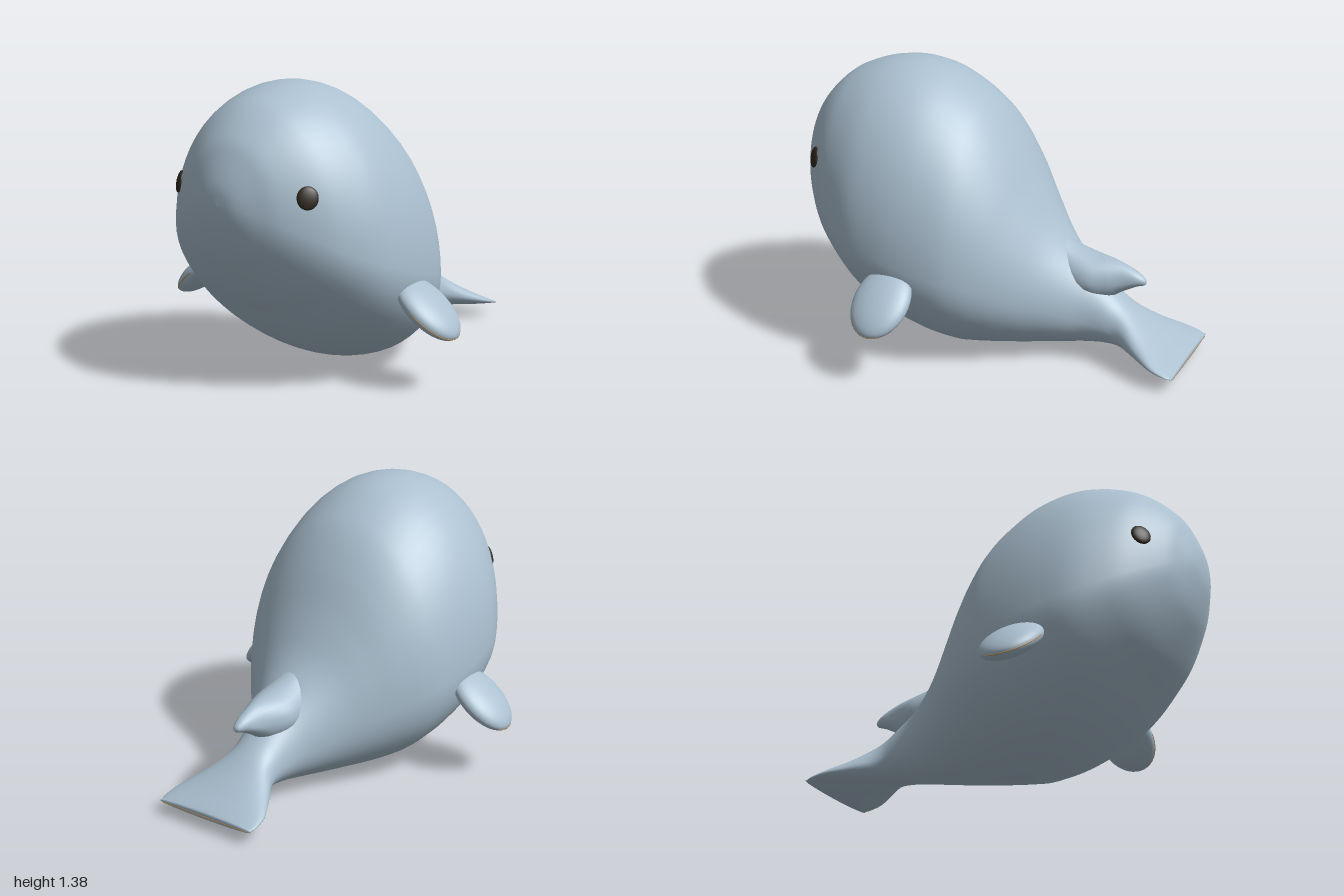
import * as THREE from 'three';

const skin = new THREE.MeshStandardMaterial({ color: 0xabc0d0 });
skin.name = 'blueGreySkin';
const dark = new THREE.MeshStandardMaterial({ color: 0x2f2a20 });
dark.name = 'darkEye';
const tan = new THREE.MeshStandardMaterial({ color: 0xb8935a });
tan.name = 'tanEdge';

// Smooth loft along -z; each row is [z, top, widest height, bottom, half width]
function loft(rows, steps, sides) {
  const a = new THREE.CatmullRomCurve3(rows.map(r => new THREE.Vector3(r[0], r[1], r[2])), false, 'catmullrom');
  const b = new THREE.CatmullRomCurve3(rows.map(r => new THREE.Vector3(r[0], r[3], r[4])), false, 'catmullrom');
  const pos = [], index = [];
  for (let j = 0; j <= steps; j++) {
    const p = a.getPoint(j / steps), q = b.getPoint(j / steps);
    const mid = p.z, w = Math.max(q.z, 0);
    for (let i = 0; i < sides; i++) {
      const t = (i / sides) * Math.PI * 2, s = Math.sin(t);
      pos.push(w * Math.cos(t), mid + s * (s > 0 ? p.y - mid : mid - q.y), p.x);
    }
  }
  for (let j = 0; j < steps; j++) {
    for (let i = 0; i < sides; i++) {
      const k = (i + 1) % sides, m = j * sides, n = m + sides;
      index.push(m + i, n + i, m + k, m + k, n + i, n + k);
    }
  }
  const g = new THREE.BufferGeometry();
  g.setAttribute('position', new THREE.Float32BufferAttribute(pos, 3));
  g.setIndex(index);
  g.computeVertexNormals();
  return g;
}

function add(parent, name, geometry, material) {
  const mesh = new THREE.Mesh(geometry, material);
  mesh.name = name;
  parent.add(mesh);
  return mesh;
}

export function createModel() {
  const model = new THREE.Group();
  model.name = 'whale';

  // Round body narrowing to a flat, flared tail
  add(model, 'bodyAndTail', loft([
    [1, 0.88, 0.88, 0.88, 0],
    [0.99, 0.97, 0.87, 0.79, 0.09],
    [0.95, 1.08, 0.84, 0.67, 0.19],
    [0.9, 1.17, 0.8, 0.58, 0.285],
    [0.8, 1.27, 0.73, 0.44, 0.41],
    [0.7, 1.33, 0.67, 0.34, 0.495],
    [0.55, 1.375, 0.6, 0.2, 0.575],
    [0.4, 1.38, 0.56, 0.1, 0.6],
    [0.25, 1.34, 0.52, 0.035, 0.597],
    [0.1, 1.25, 0.48, 0.002, 0.57],
    [0, 1.155, 0.45, 0.004, 0.53],
    [-0.1, 1.01, 0.41, 0.012, 0.465],
    [-0.2, 0.82, 0.36, 0.022, 0.385],
    [-0.3, 0.645, 0.31, 0.033, 0.3],
    [-0.4, 0.525, 0.26, 0.047, 0.225],
    [-0.5, 0.435, 0.22, 0.062, 0.165],
    [-0.6, 0.355, 0.19, 0.073, 0.14],
    [-0.68, 0.29, 0.16, 0.073, 0.145],
    [-0.78, 0.215, 0.125, 0.063, 0.205],
    [-0.88, 0.15, 0.095, 0.053, 0.262],
    [-0.95, 0.11, 0.077, 0.048, 0.275],
    [-0.985, 0.09, 0.068, 0.048, 0.268],
    [-0.997, 0.08, 0.065, 0.052, 0.25],
    [-0.998, 0.065, 0.065, 0.065, 0],
  ], 138, 56), skin);

  // Back fin sweeping rearward to a blunt tip
  add(model, 'backFin', loft([
    [-0.3, 0.6, 0.5, 0.4, 0.08],
    [-0.4, 0.548, 0.42, 0.32, 0.12],
    [-0.5, 0.515, 0.4, 0.3, 0.125],
    [-0.58, 0.503, 0.4, 0.3, 0.095],
    [-0.65, 0.488, 0.4, 0.345, 0.062],
    [-0.72, 0.458, 0.415, 0.382, 0.038],
    [-0.76, 0.43, 0.413, 0.396, 0.018],
    [-0.77, 0.412, 0.412, 0.412, 0],
  ], 42, 24), skin);

  // Thin edge line across the tail
  const tailLine = new THREE.CatmullRomCurve3([
    new THREE.Vector3(-0.25, 0.062, -0.995),
    new THREE.Vector3(0, 0.062, -0.996),
    new THREE.Vector3(0.25, 0.062, -0.995),
  ]);
  add(model, 'tailEdgeLine', new THREE.TubeGeometry(tailLine, 12, 0.004, 6), tan);

  for (const side of [1, -1]) {
    const label = side > 0 ? 'left' : 'right';

    // Paddle flipper angled down and outward
    const flipper = new THREE.Group();
    flipper.name = label + 'Flipper';
    flipper.position.set(side * 0.655, 0.375, 0.31);
    flipper.rotation.z = side * -0.7;
    model.add(flipper);
    const paddle = add(flipper, label + 'FlipperPaddle', new THREE.SphereGeometry(1, 36, 24), skin);
    paddle.scale.set(0.19, 0.062, 0.143);

    // Thin edge line around the front and tip of the flipper
    const edge = [];
    for (let i = 0; i <= 10; i++) {
      const t = -0.4 + i * 0.2;
      edge.push(new THREE.Vector3(side * 0.189 * Math.cos(t), 0, 0.142 * Math.sin(t)));
    }
    add(flipper, label + 'FlipperEdgeLine',
      new THREE.TubeGeometry(new THREE.CatmullRomCurve3(edge), 30, 0.003, 6), tan);

    // Flat oval eye lying on the head
    const eye = add(model, label + 'Eye', new THREE.SphereGeometry(1, 24, 16), dark);
    eye.scale.set(0.048, 0.052, 0.016);
    eye.position.set(side * 0.363, 0.925, 0.822);
    eye.quaternion.setFromUnitVectors(new THREE.Vector3(0, 0, 1),
      new THREE.Vector3(side * 0.68, 0.22, 0.7).normalize());
  }
  return model;
}
